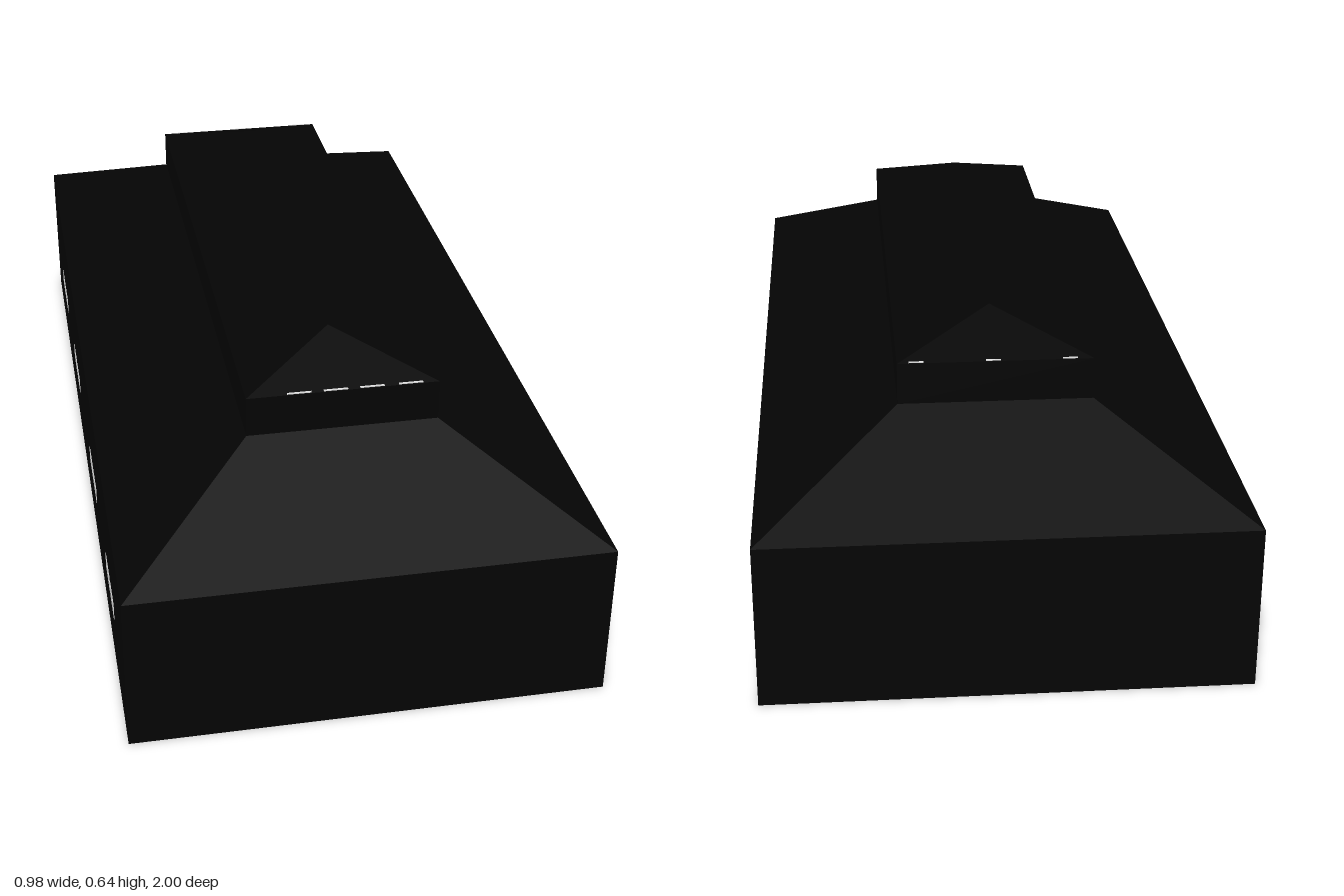
import * as THREE from 'three';

const black = new THREE.MeshStandardMaterial({ color: 0x040404 });
black.name = 'black cladding';
const pale = new THREE.MeshStandardMaterial({ color: 0xe0e0e0 });
pale.name = 'pale glass';

// Box whose top rectangle may be smaller than its base (half sizes)
function taperedBlock(name, y0, y1, bx, bz, tx, tz) {
  let g = new THREE.BoxGeometry(2, y1 - y0, 2);
  g.translate(0, (y0 + y1) / 2, 0);
  const p = g.attributes.position;
  for (let i = 0; i < p.count; i++) {
    const top = p.getY(i) > (y0 + y1) / 2;
    p.setX(i, p.getX(i) * (top ? tx : bx));
    p.setZ(i, p.getZ(i) * (top ? tz : bz));
  }
  g = g.toNonIndexed();
  g.computeVertexNormals();
  const m = new THREE.Mesh(g, black);
  m.name = name;
  return m;
}

function plate(name, w, h, d, x, y, z) {
  const m = new THREE.Mesh(new THREE.BoxGeometry(w, h, d), pale);
  m.position.set(x, y, z);
  m.name = name;
  return m;
}

export function createModel() {
  const model = new THREE.Group();
  model.name = 'hall';

  // Walls, lower hipped roof, raised clerestory and its hipped roof
  model.add(
    taperedBlock('walls', 0, 0.342, 0.489, 1, 0.489, 1),
    taperedBlock('lowerRoof', 0.342, 0.49, 0.489, 1, 0.199, 0.685),
    taperedBlock('clerestory', 0.49, 0.577, 0.199, 0.685, 0.199, 0.685),
    taperedBlock('upperRoof', 0.577, 0.638, 0.199, 0.685, 0, 0.52)
  );

  // Four pairs of windows along each long wall
  const windows = new THREE.Group();
  windows.name = 'windows';
  for (const side of [-1, 1])
    for (const end of [-1, 1])
      for (const z of [0.197, 0.294, 0.62, 0.718])
        windows.add(plate('window', 0.003, 0.038, 0.083, side * 0.4885, 0.141, end * z));
  model.add(windows);

  // Slim broken trim line along each end eave of the upper roof
  const trim = new THREE.Group();
  trim.name = 'eaveTrim';
  for (const x of [-0.09, -0.015, 0.06, 0.14])
    trim.add(plate('frontEaveTrim', 0.05, 0.002, 0.004, x, 0.5785, 0.682));
  for (const x of [-0.15, 0.005, 0.16])
    trim.add(plate('backEaveTrim', 0.03, 0.002, 0.004, x, 0.5785, -0.682));
  model.add(trim);

  return model;
}
